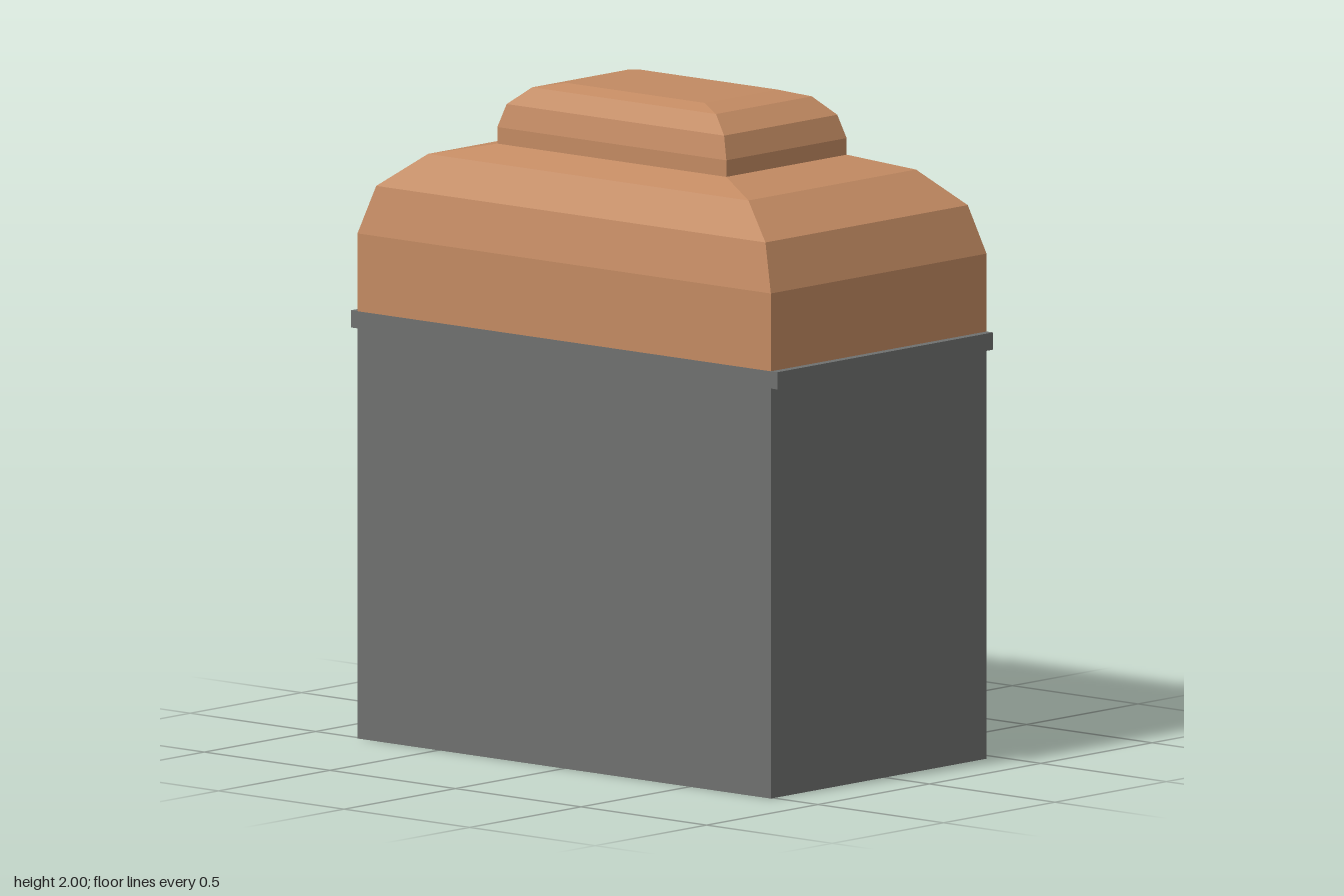
import * as THREE from 'three';

const CX = -0.028; // the body sits off centre because the door stands proud of one side

function makeMaterial(name, color) {
  const m = new THREE.MeshStandardMaterial({ color });
  m.name = name;
  return m;
}

// Stack of rectangular sections [y, halfWidth, halfDepth], flat faced and capped
function loftRectangles(sections) {
  const pos = [];
  const ring = ([y, w, d]) => [[w, y, d], [w, y, -d], [-w, y, -d], [-w, y, d]];
  const quad = (a, b, c, d) => pos.push(...a, ...b, ...c, ...a, ...c, ...d);
  for (let i = 0; i < sections.length - 1; i++) {
    const lo = ring(sections[i]), hi = ring(sections[i + 1]);
    for (let k = 0; k < 4; k++) {
      const n = (k + 1) % 4;
      quad(lo[k], lo[n], hi[n], hi[k]);
    }
  }
  const bottom = ring(sections[0]), top = ring(sections[sections.length - 1]);
  quad(...top);
  quad(...bottom.reverse());
  const g = new THREE.BufferGeometry();
  g.setAttribute('position', new THREE.Float32BufferAttribute(pos, 3));
  g.computeVertexNormals();
  return g;
}

export function createModel() {
  const model = new THREE.Group();
  model.name = 'cabinet';
  const grey = makeMaterial('body grey', 0x6e706f);
  const copper = makeMaterial('roof copper', 0xc28a62);
  const pale = makeMaterial('panel pale grey', 0xcccccc);
  const black = makeMaterial('latch black', 0x0a0a0a);

  // Box given by its minimum and maximum corners
  function box(name, material, [x0, y0, z0], [x1, y1, z1], parent = model) {
    const mesh = new THREE.Mesh(new THREE.BoxGeometry(x1 - x0, y1 - y0, z1 - z0), material);
    mesh.position.set((x0 + x1) / 2, (y0 + y1) / 2, (z0 + z1) / 2);
    mesh.name = name;
    parent.add(mesh);
  }

  // Body with a ledge along the front and back
  const x0 = -0.512, x1 = 0.456;
  box('body', grey, [x0, 0, -0.823], [x1, 1.29, 0.823]);
  box('frontLedge', grey, [x0, 1.238, 0.823], [x1, 1.29, 0.849]);
  box('backLedge', grey, [x0, 1.238, -0.849], [x1, 1.29, -0.823]);

  // Domed roof and the smaller cap on it
  const roof = new THREE.Mesh(loftRectangles([
    [1.29, 0.484, 0.823], [1.525, 0.484, 0.823], [1.67, 0.454, 0.775],
    [1.772, 0.376, 0.638], [1.81, 0.27, 0.456],
  ]), copper);
  roof.name = 'roof';
  const cap = new THREE.Mesh(loftRectangles([
    [1.81, 0.27, 0.456], [1.86, 0.27, 0.456], [1.93, 0.254, 0.433],
    [1.983, 0.215, 0.366], [2, 0.163, 0.275],
  ]), copper);
  cap.name = 'roofCap';
  for (const m of [roof, cap]) {
    m.position.x = CX;
    model.add(m);
  }

  // Side hatch: pale panel, three rails and two latches
  const hatch = new THREE.Group();
  hatch.name = 'sideHatch';
  model.add(hatch);
  box('hatchPanel', pale, [x1, 0.315, -0.508], [0.472, 1.01, 0.52], hatch);
  box('topRail', grey, [0.472, 0.98, -0.508], [0.51, 1.01, 0.52], hatch);
  box('bottomRail', grey, [0.472, 0.315, -0.508], [0.51, 0.345, 0.52], hatch);
  box('endRail', grey, [x1, 0.315, -0.536], [0.51, 1.01, -0.508], hatch);
  for (const y of [0.515, 0.798]) {
    box('latch', black, [x1, y - 0.018, 0.45], [0.5, y + 0.018, 0.58], hatch);
  }
  return model;
}
